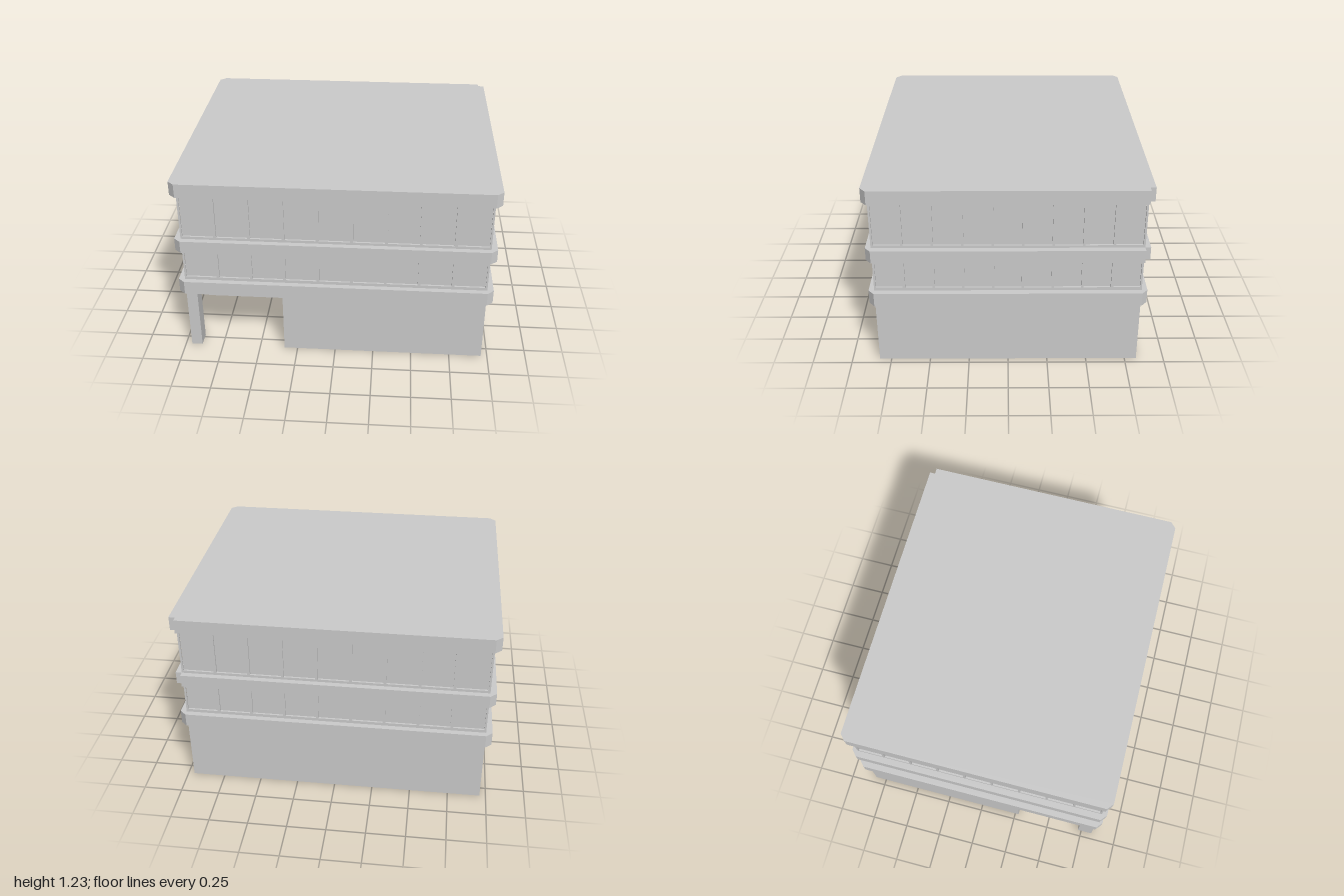
import * as THREE from 'three';

const W = 0.96, D = 0.825;      // half width and depth of the walls
const RECESS = 0.012;           // how far the windows sit back

const material = new THREE.MeshStandardMaterial({ color: 0xcccccc, flatShading: true, side: THREE.DoubleSide });

function add(parent, name, geometry, x = 0, y = 0, z = 0) {
  const mesh = new THREE.Mesh(geometry, material);
  mesh.name = name;
  mesh.position.set(x, y, z);
  parent.add(mesh);
  return mesh;
}

// Extrude a floor plan of [x, z] points upwards
function slab(plan, height) {
  const shape = new THREE.Shape(plan.map(([x, z]) => new THREE.Vector2(x, -z)));
  return new THREE.ExtrudeGeometry(shape, { depth: height, bevelEnabled: false }).rotateX(-Math.PI / 2);
}

function rect(target, x0, y0, x1, y1) {
  target.moveTo(x0, y0);
  target.lineTo(x1, y0);
  target.lineTo(x1, y1);
  target.lineTo(x0, y1);
  target.closePath();
  return target;
}

// Wall panel with two rows of nine window openings
function facade(halfWidth, pitch, windowWidth) {
  const shape = rect(new THREE.Shape(), -halfWidth, 0.5, halfWidth, 1.16);
  for (const [low, high] of [[0.545, 0.727], [0.845, 1.12]]) {
    for (let i = -4; i <= 4; i++) {
      const x = i * pitch;
      shape.holes.push(rect(new THREE.Path(), x - windowWidth / 2, low, x + windowWidth / 2, high));
    }
  }
  return new THREE.ExtrudeGeometry(shape, { depth: RECESS, bevelEnabled: false });
}

export function createModel() {
  const model = new THREE.Group();
  model.name = 'officeBuilding';

  // Ground floor with an open corner at the front
  add(model, 'groundFloor', slab([
    [-W, -D], [W, -D], [W, D], [-0.337, D], [-0.337, 0.275], [-W, 0.275],
  ], 0.45));

  // Corner pillar, open underneath
  const pillar = new THREE.BoxGeometry(0.07, 0.45, 0.1);
  const faces = Array.from(pillar.index.array);
  faces.splice(18, 6);
  pillar.setIndex(faces);
  pillar.clearGroups();
  add(model, 'cornerPillar', pillar, -W + 0.035, 0.225, D - 0.05);

  // Window panes are the faces of a core set behind the facades
  add(model, 'windowPanes', new THREE.BoxGeometry(2 * (W - RECESS), 0.66, 2 * (D - RECESS)), 0, 0.83, 0);

  // Facades on all four sides
  const wide = facade(W, 0.2128, 0.195);
  const narrow = facade(D, 0.183, 0.168);
  for (let i = 0; i < 4; i++) {
    const side = new THREE.Group();
    side.name = ['frontFacade', 'leftFacade', 'backFacade', 'rightFacade'][i];
    side.rotation.y = i * Math.PI / 2;
    add(side, 'windowWall', i % 2 ? narrow : wide, 0, 0, (i % 2 ? W : D) - RECESS);
    model.add(side);
  }

  // Projecting floor bands with cut corners; the upper two are notched at one back corner
  const bands = [
    ['lowerBand', 0.435, 0.525, false],
    ['middleBand', 0.745, 0.828, true],
    ['roofBand', 1.14, 1.23, true],
  ];
  const X = 1, Z = 0.86;
  for (const [name, low, high, notched] of bands) {
    const plan = [[-W, -Z], [W, -Z]];
    if (notched) plan.push([W, -D]);
    plan.push([X, -D], [X, D], [W, Z], [-W, Z], [-X, D], [-X, -D]);
    add(model, name, slab(plan, high - low), 0, low, 0);
  }

  return model;
}
